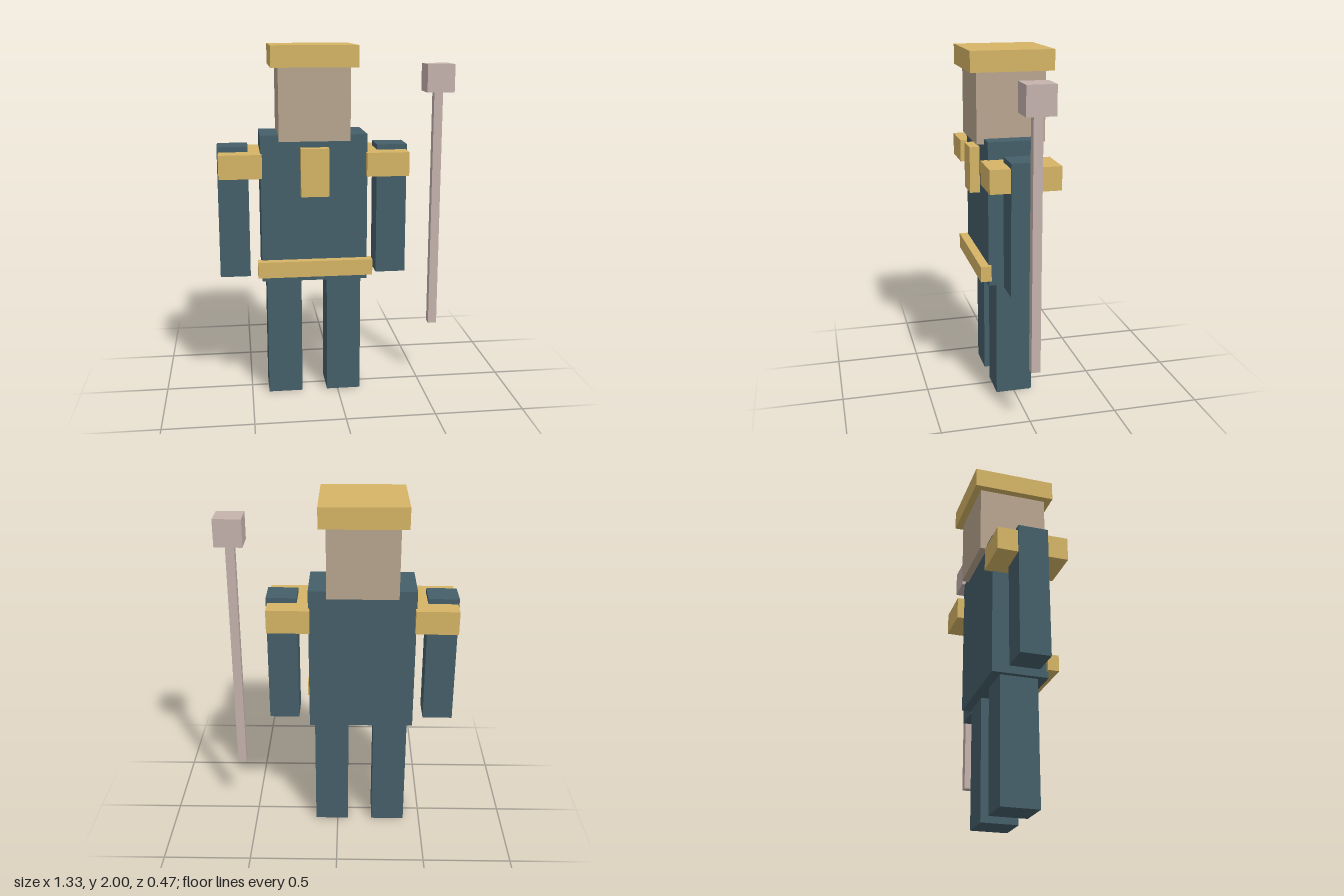
import * as THREE from 'three';

const material = (color) => new THREE.MeshStandardMaterial({ color, flatShading: true });

export function createModel() {
  const model = new THREE.Group();
  const cloth = material(0x455f69);
  const gold = material(0xd5b465);
  const skin = material(0xb8a58f);
  const pale = material(0xc5b3ad);

  // Adds a box standing on height y, centred on x and z
  function box(parent, name, mat, [w, h, d], [x, y, z = 0]) {
    const mesh = new THREE.Mesh(new THREE.BoxGeometry(w, h, d), mat);
    mesh.name = name;
    mesh.position.set(x, y + h / 2, z);
    parent.add(mesh);
  }

  // The figure stands to one side so that the staff fits beside it
  const figure = new THREE.Group();
  figure.name = 'figure';
  figure.position.x = -0.135;
  model.add(figure);

  // Body, head and flat hat
  box(figure, 'torso', cloth, [0.59, 0.825, 0.31], [0, 0.695]);
  box(figure, 'head', skin, [0.39, 0.395, 0.39], [0, 1.49]);
  box(figure, 'hat', gold, [0.47, 0.115, 0.47], [0, 1.885]);

  // Trim on the chest and waist
  box(figure, 'chestPlate', gold, [0.155, 0.265, 0.07], [0, 1.187, 0.177]);
  box(figure, 'belt', gold, [0.64, 0.09, 0.062], [0, 0.73, 0.174]);

  // Paired limbs and shoulder pads
  for (const [side, s] of [['left', 1], ['right', -1]]) {
    box(figure, side + 'Leg', cloth, [0.195, 0.695, 0.21], [s * 0.17, 0]);
    box(figure, side + 'Arm', cloth, [0.17, 0.743, 0.166], [s * 0.445, 0.708]);
    box(figure, side + 'ShoulderPad', gold, [0.235, 0.132, 0.392], [s * 0.405, 1.29]);
  }

  // Floating staff
  const staff = new THREE.Group();
  staff.name = 'staff';
  staff.position.x = 0.584;
  model.add(staff);
  box(staff, 'staffShaft', pale, [0.05, 1.38, 0.05], [0, 0.355]);
  box(staff, 'staffHead', pale, [0.155, 0.155, 0.155], [0, 1.735]);

  return model;
}
